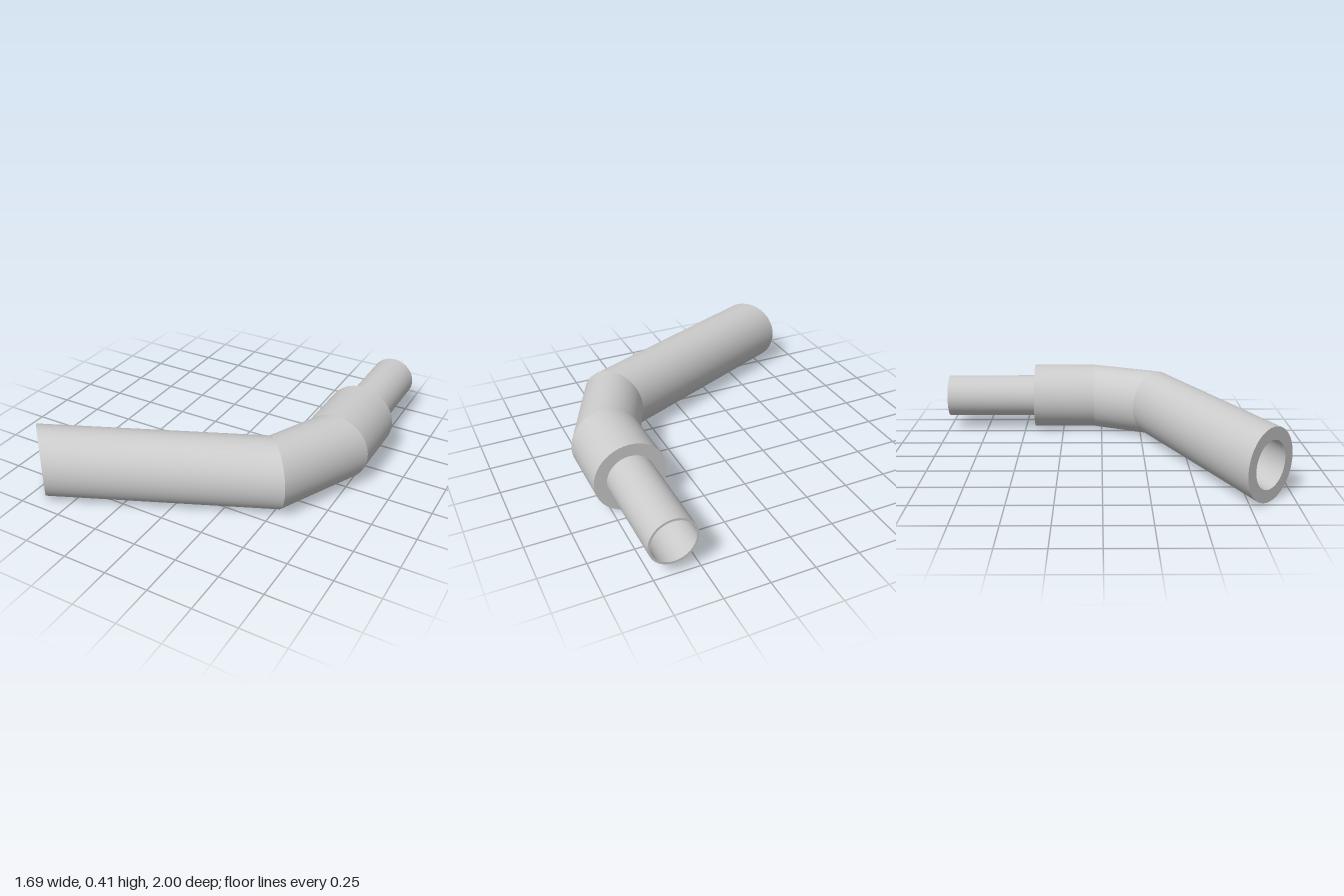
import * as THREE from 'three';
import { mergeGeometries } from 'three/addons/utils/BufferGeometryUtils.js';

const SIDES = 64;
const AXIS_Y = 0.2025;
const OUTER = 0.2025, BORE = 0.1325, PIPE_BORE = 0.12;

// Centre (x, z) and half-width vector (hx, hz) of the tube at each cut
const CUTS = [
  { x: -0.71, z: 0.857, hx: 0.135, hz: 0.139 },
  { x: 0.46, z: 0.336, hx: 0.135, hz: 0.139 },
  { x: 0.64, z: -0.05, hx: 0.2025, hz: 0 },
  { x: 0.64, z: -0.435, hx: 0.2025, hz: 0 },
  { x: 0.64, z: -1, hx: 0.2025, hz: 0 },
];

// Elliptical ring of the given radius lying in one cut plane
function ring(cut, radius) {
  const points = [], k = radius / OUTER;
  for (let i = 0; i < SIDES; i++) {
    const a = (i / SIDES) * Math.PI * 2, c = Math.cos(a) * k;
    points.push(cut.x + cut.hx * c, AXIS_Y + radius * Math.sin(a), cut.z + cut.hz * c);
  }
  return points;
}

// Band of faces between two rings, smooth around and sharp at its ends
function band(a, b) {
  const index = [];
  for (let i = 0; i < SIDES; i++) {
    const j = (i + 1) % SIDES;
    index.push(i, i + SIDES, j, j, i + SIDES, j + SIDES);
  }
  const g = new THREE.BufferGeometry();
  g.setAttribute('position', new THREE.Float32BufferAttribute([...a, ...b], 3));
  g.setIndex(index);
  g.computeVertexNormals();
  return g;
}

// Closed hollow tube: outside forward, end face, bore back, start face
function hollowTube(name, cuts, outer, inner, material) {
  const loop = [
    ...cuts.map((c) => ring(c, outer)),
    ...[...cuts].reverse().map((c) => ring(c, inner)),
  ];
  const bands = loop.map((r, i) => band(r, loop[(i + 1) % loop.length]));
  const mesh = new THREE.Mesh(mergeGeometries(bands), material);
  mesh.name = name;
  return mesh;
}

export function createModel() {
  const group = new THREE.Group();
  group.name = 'bentPipe';
  const material = new THREE.MeshStandardMaterial({ color: 0xcccccc });
  // Thick tube with two mitred bends
  group.add(hollowTube('bentSleeve', CUTS.slice(0, 4), OUTER, BORE, material));
  // Thin-walled straight spigot at the back
  group.add(hollowTube('spigot', CUTS.slice(3), BORE, PIPE_BORE, material));
  return group;
}
